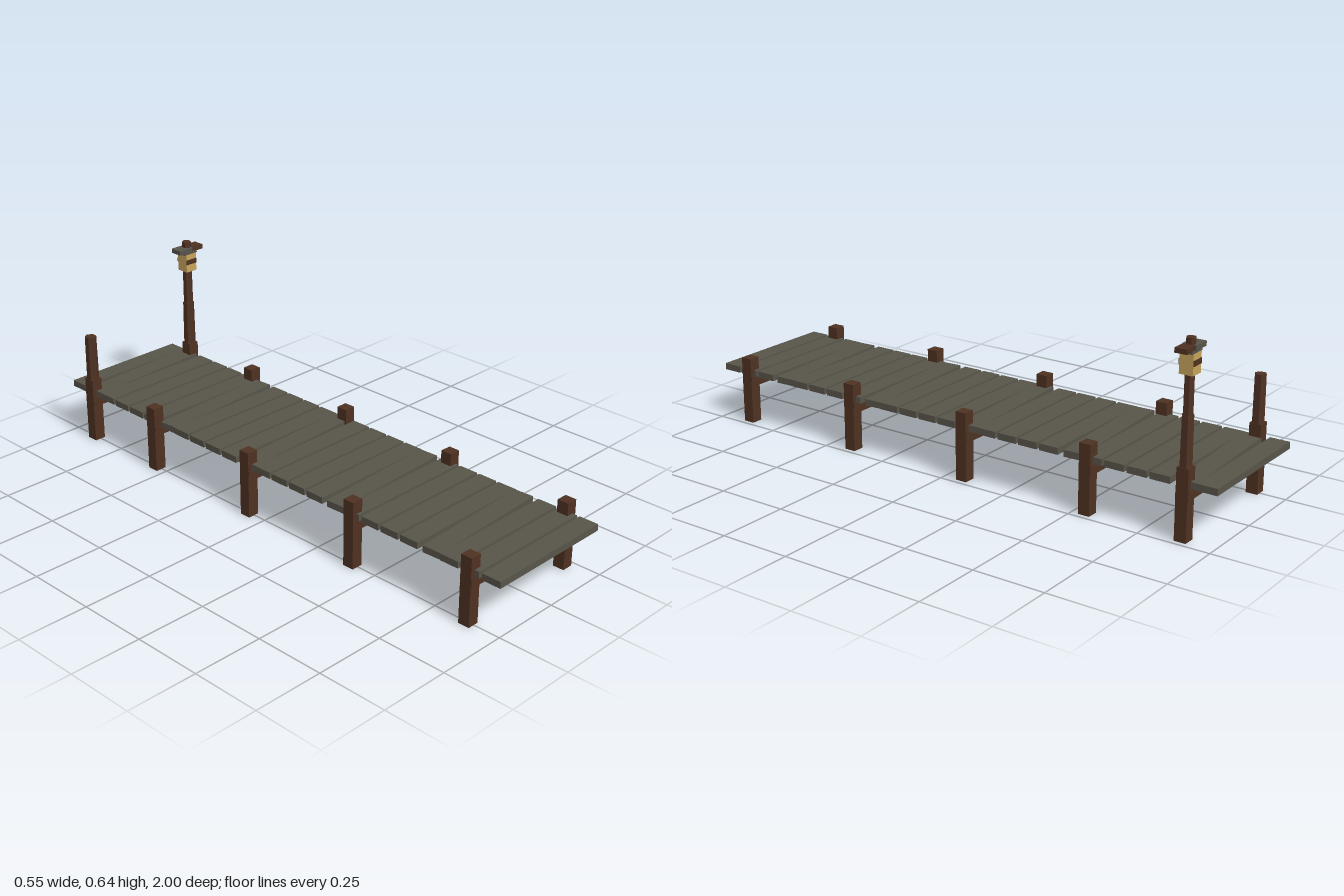
import * as THREE from 'three';

export function createModel() {
  const group = new THREE.Group();
  const mat = (name, color) => {
    const m = new THREE.MeshStandardMaterial({ color });
    m.name = name;
    return m;
  };
  const brown = mat('dark brown wood', 0x4f3222);
  const grey = mat('weathered grey wood', 0x58554a);
  const tan = mat('lantern glow', 0xc9a45c);

  const add = (name, geometry, material, x, y, z) => {
    const mesh = new THREE.Mesh(geometry, material);
    mesh.name = name;
    mesh.position.set(x, y, z);
    group.add(mesh);
    return mesh;
  };
  // box given by its x, y and z ranges
  const box = (name, material, x0, x1, y0, y1, z0, z1) =>
    add(name, new THREE.BoxGeometry(x1 - x0, y1 - y0, z1 - z0), material,
      (x0 + x1) / 2, (y0 + y1) / 2, (z0 + z1) / 2);
  // tapered six-sided pole
  const pole = (name, rTop, rBottom, x, y0, y1, z) => {
    const g = new THREE.CylinderGeometry(rTop, rBottom, y1 - y0, 6).toNonIndexed();
    g.computeVertexNormals();
    return add(name, g, brown, x, (y0 + y1) / 2, z);
  };

  // deck planks, every fifth one askew
  const plankCount = 25;
  for (let i = 0; i < plankCount; i++) {
    const z = -0.965 + (i * 1.93) / (plankCount - 1);
    const plank = box('plank', grey, -0.258, 0.218, 0.172, 0.195, z - 0.035, z + 0.035);
    if (i % 5 === 1) plank.rotation.y = 0.05;
  }

  // post pairs with cross beams
  const leftX = 0.212, rightX = -0.253, backZ = -0.888;
  for (const z of [0.882, 0.406, -0.07, -0.546, backZ]) {
    for (const x of [rightX, leftX]) {
      box('post', brown, x - 0.0205, x + 0.0205, 0, 0.239, z - 0.0205, z + 0.0205);
    }
    box('crossBeam', brown, -0.272, 0.231, 0.135, 0.171, z - 0.022, z + 0.022);
  }

  // taller poles at the back end
  pole('tallPole', 0.0205, 0.0225, rightX, 0.15, 0.402, backZ);
  pole('tallPole', 0.0205, 0.0225, leftX, 0.15, 0.402, backZ);
  pole('lampPole', 0.0165, 0.0175, leftX, 0.38, 0.641, backZ);

  // lantern with a dark band on its front and back
  box('lantern', tan, 0.189, 0.236, 0.53, 0.597, backZ - 0.0235, backZ + 0.0235);
  for (const s of [-1, 1]) {
    add('lanternBand', new THREE.BoxGeometry(0.047, 0.018, 0.002), brown,
      leftX, 0.568, backZ + s * 0.0245);
  }

  // lantern roof boards
  box('roofBase', grey, 0.182, 0.242, 0.597, 0.606, backZ - 0.022, backZ + 0.022);
  box('roofBoardRight', grey, 0.16, 0.221, 0.604, 0.62, backZ - 0.023, backZ + 0.023);
  box('roofBoardLeft', brown, 0.221, 0.272, 0.604, 0.62, backZ - 0.021, backZ + 0.021);

  return group;
}
